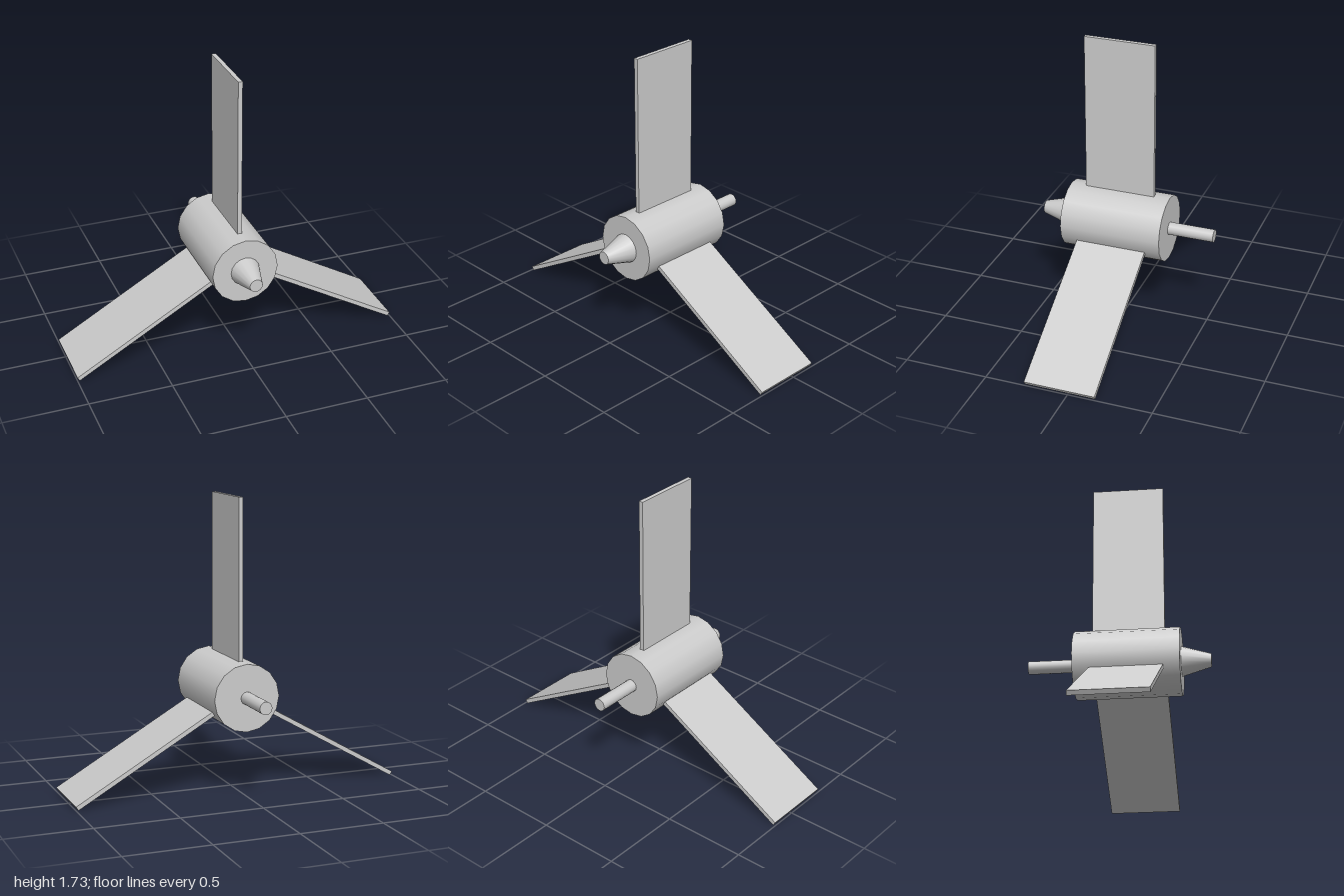
import * as THREE from 'three';

const AXIS_Y = 0.586;

export function createModel() {
  const model = new THREE.Group();
  const material = new THREE.MeshStandardMaterial({ color: 0xcccccc });

  // Round part along z, between z0 (back) and z1 (front)
  function turned(name, rBack, rFront, z0, z1, sides) {
    const geometry = new THREE.CylinderGeometry(rFront, rBack, z1 - z0, sides);
    geometry.rotateX(Math.PI / 2);
    const mesh = new THREE.Mesh(geometry, material);
    mesh.name = name;
    mesh.position.set(0, AXIS_Y, (z0 + z1) / 2);
    model.add(mesh);
  }

  turned('hub', 0.2, 0.2, -0.255, 0.36, 16);
  turned('noseCone', 0.088, 0.039, 0.36, 0.532, 16);
  turned('rearShaft', 0.038, 0.038, -0.532, -0.255, 16);

  // Three flat blades, rooted just inside the hub
  const root = 0.18, tip = 1.147, back = -0.16, front = 0.265;
  const bladeGeometry = new THREE.BoxGeometry(0.026, tip - root, front - back);
  bladeGeometry.translate(0, (root + tip) / 2, (front + back) / 2);
  for (let i = 0; i < 3; i++) {
    const blade = new THREE.Mesh(bladeGeometry, material);
    blade.name = `blade${i + 1}`;
    blade.position.y = AXIS_Y;
    blade.rotation.z = (i * 2 * Math.PI) / 3;
    model.add(blade);
  }

  return model;
}
